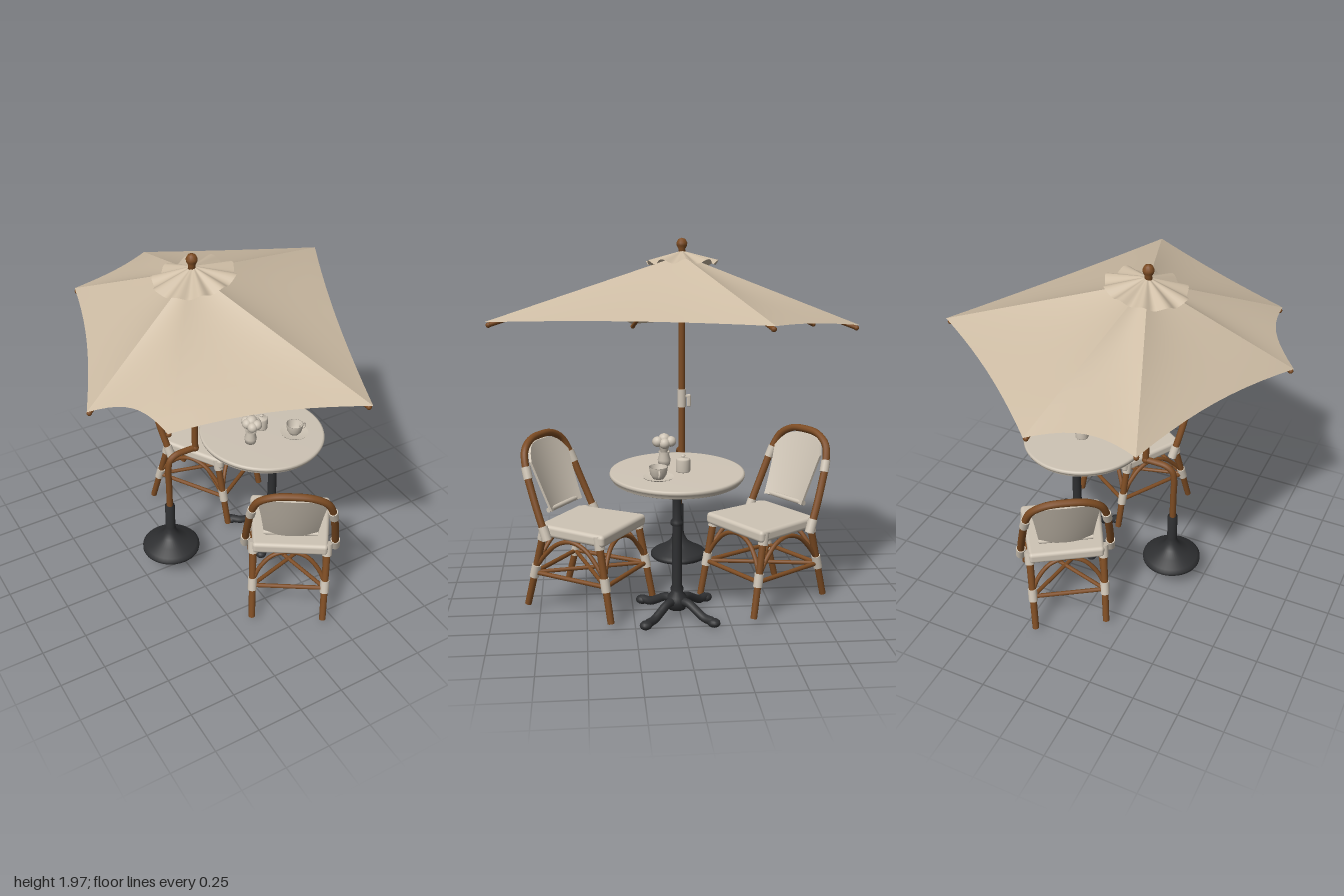
import * as THREE from 'three';
import { RoundedBoxGeometry } from 'three/addons/geometries/RoundedBoxGeometry.js';

const mat = (name, color, side = THREE.FrontSide) => {
  const m = new THREE.MeshStandardMaterial({ color, side });
  m.name = name;
  return m;
};
const V = (x, y, z) => new THREE.Vector3(x, y, z);

export function createModel() {
  const canvas = mat('canvas', 0xcdbca4, THREE.DoubleSide);
  const cream = mat('cream', 0xcec4b5);
  const wood = mat('wood', 0x7d4c23);
  const iron = mat('iron', 0x2e2f31);

  const add = (parent, name, geo, m, x = 0, y = 0, z = 0) => {
    const mesh = new THREE.Mesh(geo, m);
    mesh.name = name;
    mesh.position.set(x, y, z);
    parent.add(mesh);
    return mesh;
  };
  const group = (parent, name, x = 0, y = 0, z = 0) => {
    const g = new THREE.Group();
    g.name = name;
    g.position.set(x, y, z);
    parent.add(g);
    return g;
  };
  // Straight round bar between two points
  const bar = (parent, name, a, b, r, m, r2 = r) => {
    const mesh = add(parent, name, new THREE.CylinderGeometry(r2, r, a.distanceTo(b), 12), m);
    mesh.position.lerpVectors(a, b, 0.5);
    mesh.quaternion.setFromUnitVectors(V(0, 1, 0), b.clone().sub(a).normalize());
    return mesh;
  };
  const tube = (parent, name, pts, r, m, n = 32) =>
    add(parent, name, new THREE.TubeGeometry(new THREE.CatmullRomCurve3(pts), n, r, 10), m);
  const lathe = (parent, name, pts, m, x, y, z, n = 32) =>
    add(parent, name, new THREE.LatheGeometry(pts.map(p => new THREE.Vector2(...p)), n), m, x, y, z);
  // Grid surface from a function of u, v in 0..1
  const surface = (fn, nu, nv) => {
    const g = new THREE.PlaneGeometry(1, 1, nu, nv), p = g.attributes.position;
    for (let i = 0; i < p.count; i++) {
      const q = fn(p.getX(i) + 0.5, p.getY(i) + 0.5);
      p.setXYZ(i, q.x, q.y, q.z);
    }
    g.computeVertexNormals();
    return g;
  };

  const model = new THREE.Group();
  model.name = 'cafeSet';

  // ---- Umbrella ----
  const umbrella = group(model, 'umbrella');
  const px = -0.14, pz = -0.05;
  const apex = V(px, 1.88, pz);
  const corners = [V(0.05, 1.51, -1), V(0.84, 1.61, -0.39), V(0.23, 1.57, 0.99),
    V(-0.64, 1.5, 0.63), V(-0.85, 1.42, 0.19), V(-0.45, 1.47, -0.87)];
  const inset = [0.03, 0.035, 0.045, 0.09, 0.06, 0.075];
  corners.forEach((a, i) => {
    const b = corners[(i + 1) % 6];
    const panel = surface((u, v) => {
      const bow = 4 * u * (1 - u);
      const rim = a.clone().lerp(b, u).lerp(apex, inset[i] * bow);
      const q = apex.clone().lerp(rim, v);
      q.y -= 0.02 * bow * Math.sin(Math.PI * v);
      return q;
    }, 10, 10);
    add(umbrella, 'canopyPanel', panel, canvas);
    // Rib under each seam and its strut
    const top = V(px, 1.845, pz), end = a.clone().lerp(apex, 0.02);
    end.y -= 0.022;
    bar(umbrella, 'rib', top, end, 0.012, wood);
    bar(umbrella, 'strut', V(px, 1.56, pz), top.clone().lerp(end, 0.45), 0.011, wood);
    add(umbrella, 'ribTip', new THREE.SphereGeometry(0.014, 10, 8), wood, end.x, end.y, end.z);
  });
  // Rippled vent cap
  const cap = surface((u, v) => {
    const t = u * Math.PI * 2, w = Math.cos(t * 10);
    const r = 0.012 + v * (0.19 + 0.008 * w + 0.012 * Math.cos(2 * t));
    return V(r * Math.cos(t), -0.062 * v + 0.012 * v * w, r * Math.sin(t));
  }, 100, 8);
  add(umbrella, 'ventCap', cap, canvas, px + 0.005, 1.9, pz).rotation.z = 0.1;
  lathe(umbrella, 'finial', [[0, 1.88], [0.022, 1.88], [0.018, 1.912], [0.028, 1.93], [0.03, 1.945],
    [0.02, 1.965], [0, 1.972]], wood, px, 0, pz, 16);
  bar(umbrella, 'pole', V(px, 0.76, pz), V(px, 1.89, pz), 0.018, wood);
  lathe(umbrella, 'runnerHub', [[0, 1.53], [0.024, 1.53], [0.03, 1.55], [0.045, 1.575], [0.045, 1.59], [0, 1.59]],
    wood, px, 0, pz, 18);
  bar(umbrella, 'crankCollar', V(px, 1.04, pz), V(px, 1.14, pz), 0.024, cream);
  add(umbrella, 'crankArm', new RoundedBoxGeometry(0.016, 0.018, 0.04, 2, 0.005), cream, px, 1.1, pz - 0.03);
  add(umbrella, 'crankHandle', new RoundedBoxGeometry(0.02, 0.07, 0.022, 2, 0.007), cream, px, 1.075, pz - 0.04);
  tube(umbrella, 'bentArm', [V(-0.31, 0.38, pz), V(-0.31, 0.55, pz), V(-0.31, 0.69, pz), V(-0.297, 0.74, pz),
    V(-0.26, 0.765, pz), V(-0.2, 0.77, pz), V(px, 0.77, pz)], 0.018, wood, 48);
  add(umbrella, 'armJoint', new THREE.SphereGeometry(0.022, 14, 10), wood, px, 0.77, pz);
  lathe(umbrella, 'umbrellaBase', [[0, 0.1], [0.155, 0.1], [0.165, 0.11], [0.165, 0.125], [0.15, 0.14], [0.1, 0.165],
    [0.055, 0.195], [0.035, 0.23], [0.028, 0.26], [0.028, 0.42], [0, 0.42]], iron, -0.31, 0, pz, 40);

  // ---- Table ----
  const table = group(model, 'table', 0.337, 0, 0.02);
  lathe(table, 'column', [[0, 0.04], [0.045, 0.04], [0.055, 0.08], [0.05, 0.11], [0.03, 0.135], [0.036, 0.15],
    [0.027, 0.17], [0.025, 0.5], [0.034, 0.51], [0.034, 0.525], [0.025, 0.54], [0.024, 0.64], [0.036, 0.66],
    [0.03, 0.68], [0.045, 0.7], [0.05, 0.715], [0.1, 0.725], [0.1, 0.735], [0, 0.735]], iron, 0, 0, 0, 24);
  for (let i = 0; i < 4; i++) {
    const leg = group(table, 'tableLeg');
    leg.rotation.y = Math.PI / 4 + i * Math.PI / 2;
    tube(leg, 'legCurve', [V(0.02, 0.085, 0), V(0.08, 0.085, 0), V(0.14, 0.055, 0), V(0.19, 0.032, 0),
      V(0.245, 0.03, 0)], 0.023, iron, 20);
    const foot = add(leg, 'foot', new THREE.SphereGeometry(0.032, 14, 10), iron, 0.25, 0.024, 0);
    foot.scale.set(1.1, 0.75, 1);
  }
  // Slightly tilted top with its tableware
  const top = group(model, 'tableTop', 0.26, 0.758, 0.012);
  top.rotation.z = -0.04;
  lathe(top, 'topDisc', [[0, -0.024], [0.335, -0.024], [0.342, -0.02], [0.342, -0.004], [0.354, -0.002], [0.357, 0.008],
    [0.354, 0.018], [0.345, 0.02], [0, 0.02]], cream, 0, 0, 0, 64);

  const cup = group(top, 'cupAndSaucer', 0.145, 0.02, 0.11);
  lathe(cup, 'saucer', [[0, 0], [0.04, 0], [0.078, 0.014], [0.08, 0.018], [0.04, 0.008], [0, 0.008]], cream, 0, 0, 0);
  lathe(cup, 'cup', [[0, 0.008], [0.028, 0.008], [0.042, 0.03], [0.049, 0.07], [0.045, 0.07], [0.038, 0.034],
    [0.024, 0.018], [0, 0.018]], cream, 0, 0, 0, 28);
  add(cup, 'cupHandle', new THREE.TorusGeometry(0.018, 0.005, 8, 18), cream, 0.055, 0.042, 0);

  const jar = group(top, 'sugarJar', 0.01, 0.02, -0.03);
  lathe(jar, 'jarBody', [[0, 0], [0.036, 0], [0.038, 0.005], [0.038, 0.064], [0.032, 0.07], [0.008, 0.074],
    [0.008, 0.08], [0.012, 0.087], [0, 0.092]], cream, 0, 0, 0, 24);

  const flowers = group(top, 'flowerVase', -0.115, 0.02, 0.06);
  lathe(flowers, 'vase', [[0, 0], [0.03, 0], [0.035, 0.03], [0.026, 0.06], [0.032, 0.075], [0.026, 0.075], [0, 0.06]],
    cream, 0, 0, 0, 20);
  bar(flowers, 'stems', V(0, 0.05, 0), V(0, 0.11, 0), 0.012, cream, 0.03);
  for (let i = 0; i < 6; i++) {
    const a = i * Math.PI / 3;
    add(flowers, 'blossom', new THREE.IcosahedronGeometry(0.029, 2), cream,
      0.028 * Math.cos(a), 0.125 + 0.008 * (i % 2), 0.04 * Math.sin(a));
  }
  add(flowers, 'topBlossom', new THREE.IcosahedronGeometry(0.033, 2), cream, 0, 0.142, 0);

  // ---- Chairs: local +z is forward ----
  const makeChair = (name, x, z, turn) => {
    const chair = group(model, name, x, 0, z);
    chair.rotation.y = turn;
    const lean = y => -0.11 - 0.19 * Math.pow(Math.max(0, (y - 0.45) / 0.46), 0.85);

    const seat = add(chair, 'seat', new RoundedBoxGeometry(0.45, 0.065, 0.42, 4, 0.02), cream, 0, 0.463, 0.01);
    const sp = seat.geometry.attributes.position;
    for (let i = 0; i < sp.count; i++) sp.setX(i, sp.getX(i) * (0.95 + 0.25 * sp.getZ(i)));

    // Bent backrest loop
    const half = [[0.245, 0.43], [0.238, 0.55], [0.225, 0.68], [0.21, 0.79], [0.175, 0.875], [0.1, 0.92]];
    const side = s => half.map(([r, y]) => V(s * r, y, lean(y)));
    const loop = [...side(-1), V(0, 0.93, lean(0.93)), ...side(1).reverse()];
    tube(chair, 'backLoop', loop, 0.02, wood, 80);

    // Curved woven back panel
    const panel = new THREE.BoxGeometry(1, 1, 0.016, 14, 14, 1), p = panel.attributes.position;
    for (let i = 0; i < p.count; i++) {
      const u = p.getX(i) * 2, v = p.getY(i) + 0.5;
      const y = 0.555 + 0.35 * v - 0.085 * v * v * u * u * u * u;
      p.setXYZ(i, u * (0.145 + 0.03 * v), y, p.getZ(i) + lean(y) + 0.03 * u * u - 0.015);
    }
    panel.computeVertexNormals();
    add(chair, 'backPanel', panel, cream);

    // Legs as foot and top, in order around the seat
    const legs = [[V(-0.195, 0.03, -0.28), V(-0.2, 0.46, -0.16)], [V(0.195, 0.03, -0.28), V(0.2, 0.46, -0.16)],
      [V(0.22, 0.03, 0.26), V(0.2, 0.46, 0.18)], [V(-0.22, 0.03, 0.26), V(-0.2, 0.46, 0.18)]];
    const at = ([a, b], y) => a.clone().lerp(b, (y - 0.03) / 0.43);
    legs.forEach((leg, i) => {
      const next = legs[(i + 1) % 4];
      bar(chair, 'leg', leg[0], leg[1], 0.018, wood, 0.02);
      bar(chair, 'lowerWrap', at(leg, 0.195), at(leg, 0.265), 0.025, cream);
      bar(chair, 'upperWrap', at(leg, 0.415), at(leg, 0.485), 0.027, cream);
      bar(chair, 'stretcher', at(leg, 0.22), at(next, 0.22), 0.012, wood);
      // Arched brace under each side of the seat
      const arch = [[0, 0.25], [0.1, 0.33], [0.27, 0.4], [0.5, 0.425], [0.73, 0.4], [0.9, 0.33], [1, 0.25]]
        .map(([t, y]) => at(leg, y).lerp(at(next, y), t));
      tube(chair, 'archBrace', arch, 0.012, wood, 28);
    });
    bar(chair, 'crossStretcher', at(legs[0], 0.22), at(legs[2], 0.22), 0.011, wood);
    bar(chair, 'crossStretcher', at(legs[1], 0.22), at(legs[3], 0.22), 0.011, wood);

    // Wraps on the loop and the lower panel bar
    for (const s of [-1, 1]) {
      bar(chair, 'loopWrap', V(s * 0.217, 0.74, lean(0.74)), V(s * 0.207, 0.8, lean(0.8)), 0.025, cream);
      bar(chair, 'loopFootWrap', V(s * 0.245, 0.43, lean(0.43)), V(s * 0.241, 0.5, lean(0.5)), 0.026, cream);
    }
    bar(chair, 'panelBar', V(-0.145, 0.56, lean(0.56)), V(0.145, 0.56, lean(0.56)), 0.013, cream);
  };
  makeChair('frontChair', 0.165, 0.475, Math.PI - 0.576);
  makeChair('backChair', 0.165, -0.468, 0.576);

  return model;
}
